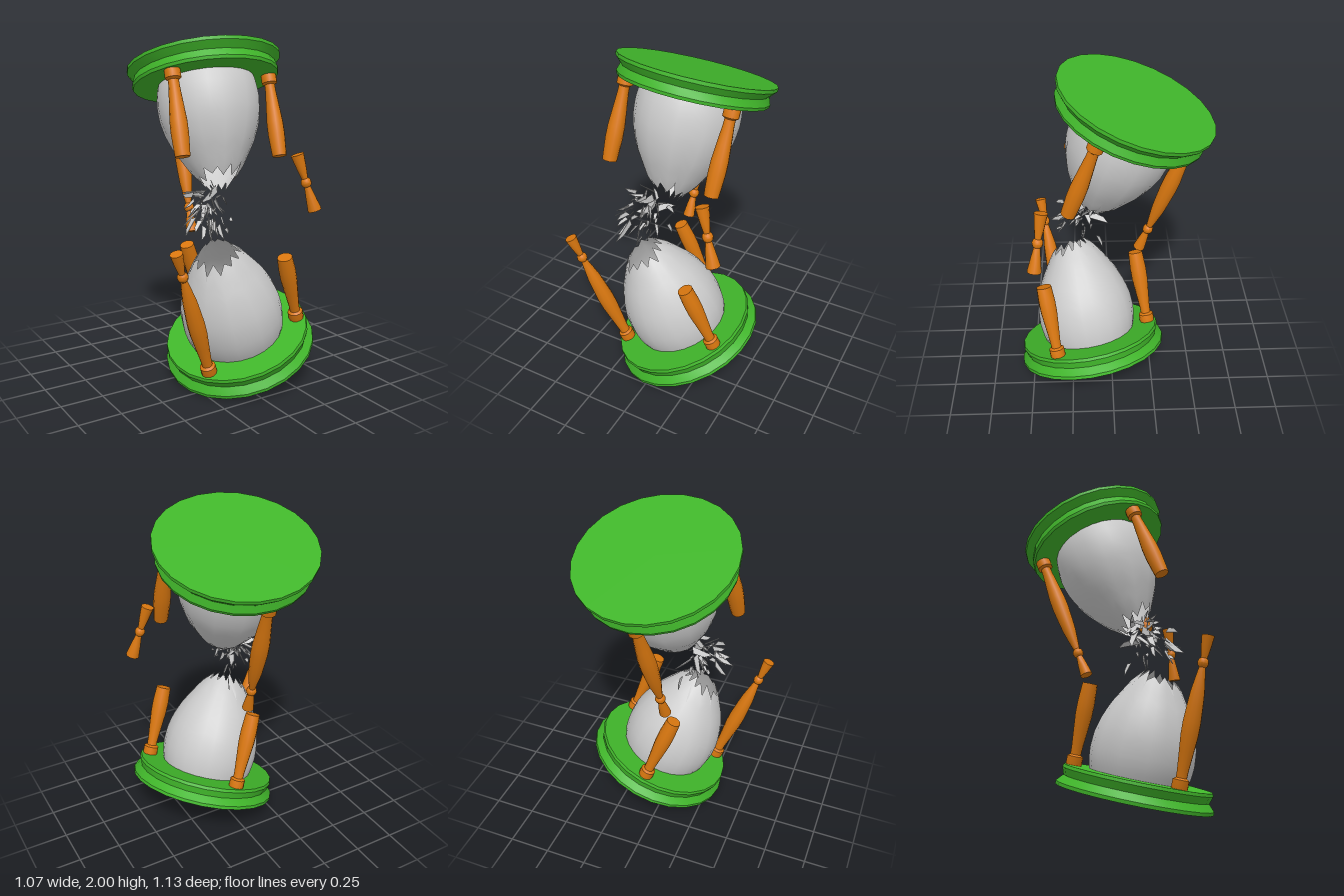
import * as THREE from 'three';
import { toCreasedNormals } from 'three/addons/utils/BufferGeometryUtils.js';

const green = new THREE.MeshStandardMaterial({ color: 0x40b52a });
const orange = new THREE.MeshStandardMaterial({ color: 0xd9770f });
const glass = new THREE.MeshStandardMaterial({ color: 0xcccccc, side: THREE.DoubleSide });

let seed = 11;
const rand = () => (seed = (seed * 16807) % 2147483647) / 2147483647;
const spread = (a) => (rand() + rand() - 1) * a;

function mesh(name, geometry, material) {
  const m = new THREE.Mesh(geometry, material);
  m.name = name;
  return m;
}

function lathe(points, sides) {
  const g = new THREE.LatheGeometry(points.map(([r, y]) => new THREE.Vector2(r, y)), sides);
  return toCreasedNormals(g, 0.6);
}

// Linear lookup in a list of [radius, height]
function radiusAt(profile, y) {
  for (let i = 1; i < profile.length; i++) {
    const [r0, y0] = profile[i - 1], [r1, y1] = profile[i];
    if (y <= y1) return r0 + (r1 - r0) * (y - y0) / (y1 - y0);
  }
  return profile[profile.length - 1][0];
}

// Turned post: collar, swelling, thin waist with a ball in the middle, flare
const MID = 0.68;
const POST = [
  [0.043, 0], [0.045, 0.015], [0.045, 0.055], [0.03, 0.065], [0.031, 0.1], [0.04, 0.2],
  [0.048, 0.29], [0.049, 0.36], [0.044, 0.45], [0.039, 0.52], [0.027, 0.6], [0.018, 0.655],
  [0.027, 0.664], [0.031, MID], [0.027, 0.696], [0.018, 0.705], [0.027, 0.76], [0.038, 0.85],
];

// A length of post between two breaks, capped at both ends
function postGeometry(from, to) {
  const inner = POST.filter(([, y]) => y > from && y < to);
  return lathe([
    [0, from], [radiusAt(POST, from), from], ...inner, [radiusAt(POST, to), to], [0, to],
  ], 12);
}

// Round end plate with a grooved rim
const PLATE = [[0, 0], [0.45, 0], [0.45, 0.02], [0.415, 0.058], [0.43, 0.1], [0.425, 0.118], [0, 0.118]];

const BULB = [
  [0.275, 0.1], [0.293, 0.16], [0.3, 0.24], [0.293, 0.33], [0.272, 0.41], [0.235, 0.5],
  [0.175, 0.6], [0.145, 0.65], [0.1, 0.7], [0.05, 0.76], [0.035, 0.8],
];

// Glass bulb whose rows stretch up to a jagged edge that changes with the angle
function bulbGeometry(breakAt) {
  const rows = 14, sides = 24;
  const points = Array.from({ length: rows }, (_, i) => new THREE.Vector2(1, i));
  const g = new THREE.LatheGeometry(points, sides);
  const p = g.attributes.position;
  const edge = Array.from({ length: sides }, (_, k) =>
    breakAt(k / sides * Math.PI * 2) + (k % 2 ? 1 : -1) * (0.01 + 0.03 * rand()));
  for (let i = 0; i < p.count; i++) {
    const k = Math.floor(i / rows) % sides;
    const y = 0.1 + (edge[k] - 0.1) * (i % rows) / (rows - 1);
    const r = radiusAt(BULB, y), a = k / sides * Math.PI * 2;
    p.setXYZ(i, r * Math.sin(a), y, r * Math.cos(a));
  }
  return toCreasedNormals(g, 0.6);
}

// One half, standing on its plate: plate, bulb and three broken posts
function half(name, lengths, breakAt) {
  const g = new THREE.Group();
  g.name = name;
  g.add(mesh('plate', lathe(PLATE, 24), green));
  g.add(mesh('bulb', bulbGeometry(breakAt), glass));
  [[-0.32, 0.185], [0.32, 0.185], [0, -0.37]].forEach(([x, z], i) => {
    const post = mesh('post', postGeometry(0, lengths[i]), orange);
    post.position.set(x, 0.112, z);
    g.add(post);
  });
  return g;
}

const UP = new THREE.Vector3(0, 1, 0);
const tilt = (x, y, z) => new THREE.Quaternion().setFromUnitVectors(UP, new THREE.Vector3(x, y, z).normalize());

// Thin glass splinters flying out of the broken neck
function shards() {
  const g = new THREE.Group();
  g.name = 'glassShards';
  const source = new THREE.Vector3(-0.12, 1.12, 0.14);
  for (let i = 0; i < 52; i++) {
    const big = i % 6 === 0;
    const l = big ? 0.1 + 0.05 * rand() : 0.03 + 0.07 * rand();
    const w = big ? 0.045 : 0.01 + 0.025 * rand();
    const outline = [[-w / 2, -l / 2], [w * 0.4, -l * 0.4], [w / 2, l * 0.2 * rand()], [0, l / 2]];
    const shape = new THREE.Shape(outline.map(([x, y]) => new THREE.Vector2(x, y)));
    const s = mesh('shard', new THREE.ExtrudeGeometry(shape, { depth: 0.004, bevelEnabled: false }), glass);
    s.position.set(-0.17 + spread(0.17), 1.03 + spread(0.19), 0.18 + spread(0.17));
    const dir = s.position.clone().sub(source).add(new THREE.Vector3(spread(0.08), spread(0.08), spread(0.08)));
    s.quaternion.copy(tilt(dir.x, dir.y, dir.z));
    s.rotateY(rand() * 6.28);
    g.add(s);
  }
  return g;
}

export function createModel() {
  const model = new THREE.Group();
  model.name = 'brokenHourglass';

  // Lower half leans to the right
  const lower = half('lowerHalf', [0.83, 0.45, 0.47], (a) => 0.69 - 0.03 * Math.cos(a + 0.8));
  lower.position.set(0.105, 0.165, 0.12);
  lower.quaternion.copy(tilt(-0.34, 0.93, 0.16));
  model.add(lower);

  // Upper half hangs upside down and leans back
  const upper = half('upperHalf', [0.49, 0.49, 0.83], (a) => 0.7 - 0.045 * Math.cos(a - 0.3));
  upper.position.set(0.01, 1.845, -0.14);
  upper.quaternion.copy(tilt(0.066, 0.939, -0.338));
  upper.rotateZ(Math.PI);
  model.add(upper);

  // Loose middle piece of the front left post
  const piece = mesh('loosePostPiece', postGeometry(MID - 0.17, MID + 0.17).translate(0, -MID, 0), orange);
  piece.position.set(0.357, 1.185, 0.408);
  piece.quaternion.copy(tilt(-0.095, 0.32, -0.05));
  model.add(piece);

  model.add(shards());
  return model;
}
